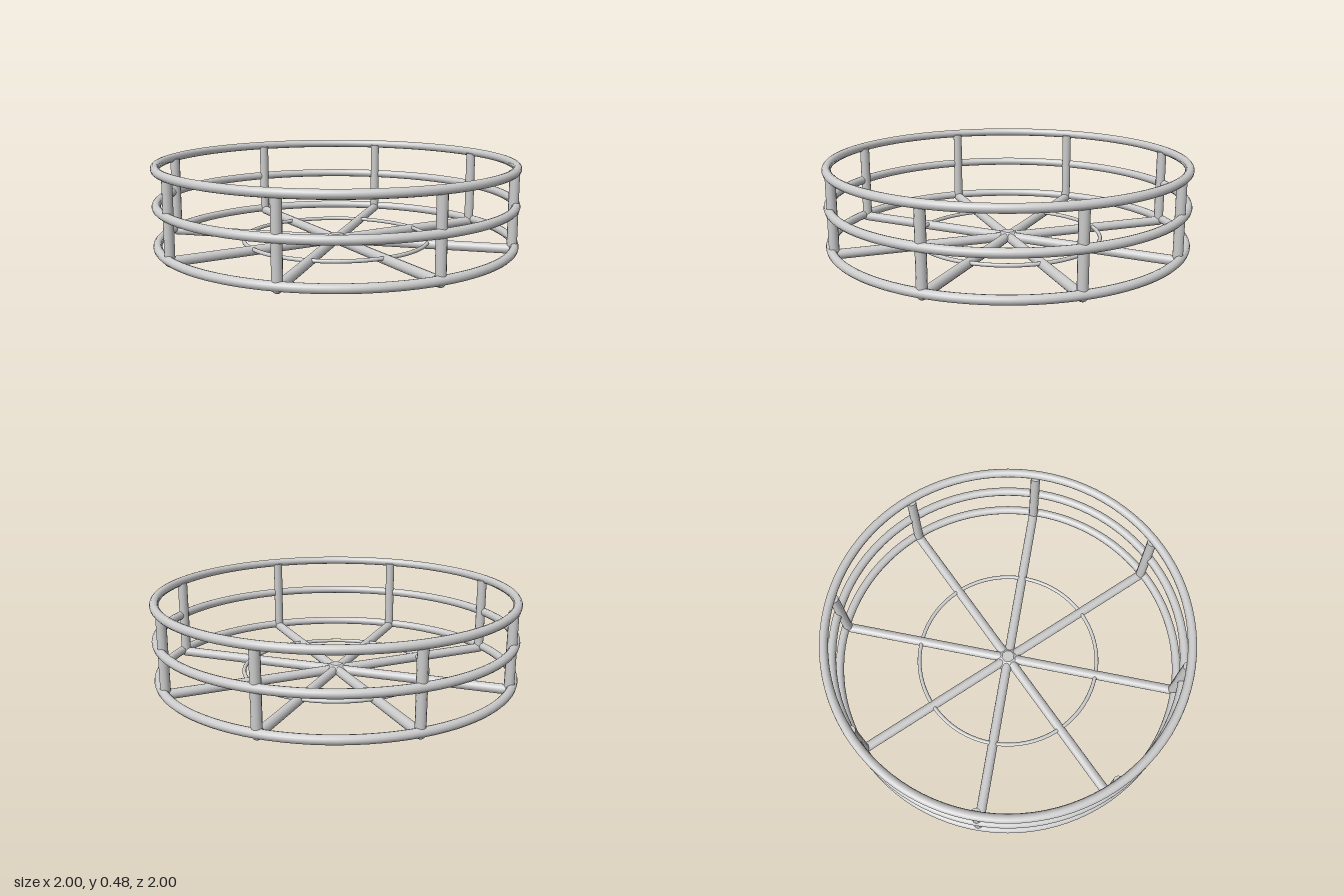
import * as THREE from 'three';

const material = new THREE.MeshStandardMaterial({ color: 0xcccccc });

function add(parent, name, geometry) {
  const mesh = new THREE.Mesh(geometry, material);
  mesh.name = name;
  parent.add(mesh);
  return mesh;
}

function ring(parent, name, radius, tube, y) {
  const geometry = new THREE.TorusGeometry(radius, tube, 12, 96);
  geometry.rotateX(Math.PI / 2);
  add(parent, name, geometry).position.y = y;
}

export function createModel() {
  const model = new THREE.Group();
  model.name = 'wireBasket';

  // Three equal hoops around the wall and a thin one on the floor
  ring(model, 'topHoop', 0.976, 0.024, 0.457);
  ring(model, 'middleHoop', 0.976, 0.024, 0.256);
  ring(model, 'bottomHoop', 0.976, 0.024, 0.038);
  ring(model, 'floorHoop', 0.515, 0.011, 0.036);

  // Ribs: a floor spoke that turns up into a wall post, in opposite pairs
  const rod = 0.027;
  const reach = 0.963;
  const postTop = 0.45;
  for (const degrees of [71.2, 24.4, -19.8, -63.5]) {
    for (const half of [0, 180]) {
      const rib = new THREE.Group();
      rib.name = 'rib';
      rib.rotation.y = -THREE.MathUtils.degToRad(degrees + half);
      model.add(rib);

      const spoke = new THREE.CylinderGeometry(rod, rod, reach, 12);
      spoke.rotateZ(Math.PI / 2);
      add(rib, 'spoke', spoke).position.set(reach / 2, rod, 0);

      const height = postTop - rod;
      const post = new THREE.CylinderGeometry(rod, rod, height, 12);
      add(rib, 'post', post).position.set(reach, rod + height / 2, 0);

      add(rib, 'elbow', new THREE.SphereGeometry(rod, 12, 8)).position.set(reach, rod, 0);
    }
  }

  // Small faceted cap where the spokes meet
  const cap = new THREE.CylinderGeometry(0.035, 0.08, 0.03, 8).toNonIndexed();
  cap.computeVertexNormals();
  add(model, 'hubCap', cap).position.y = 0.045;

  return model;
}
